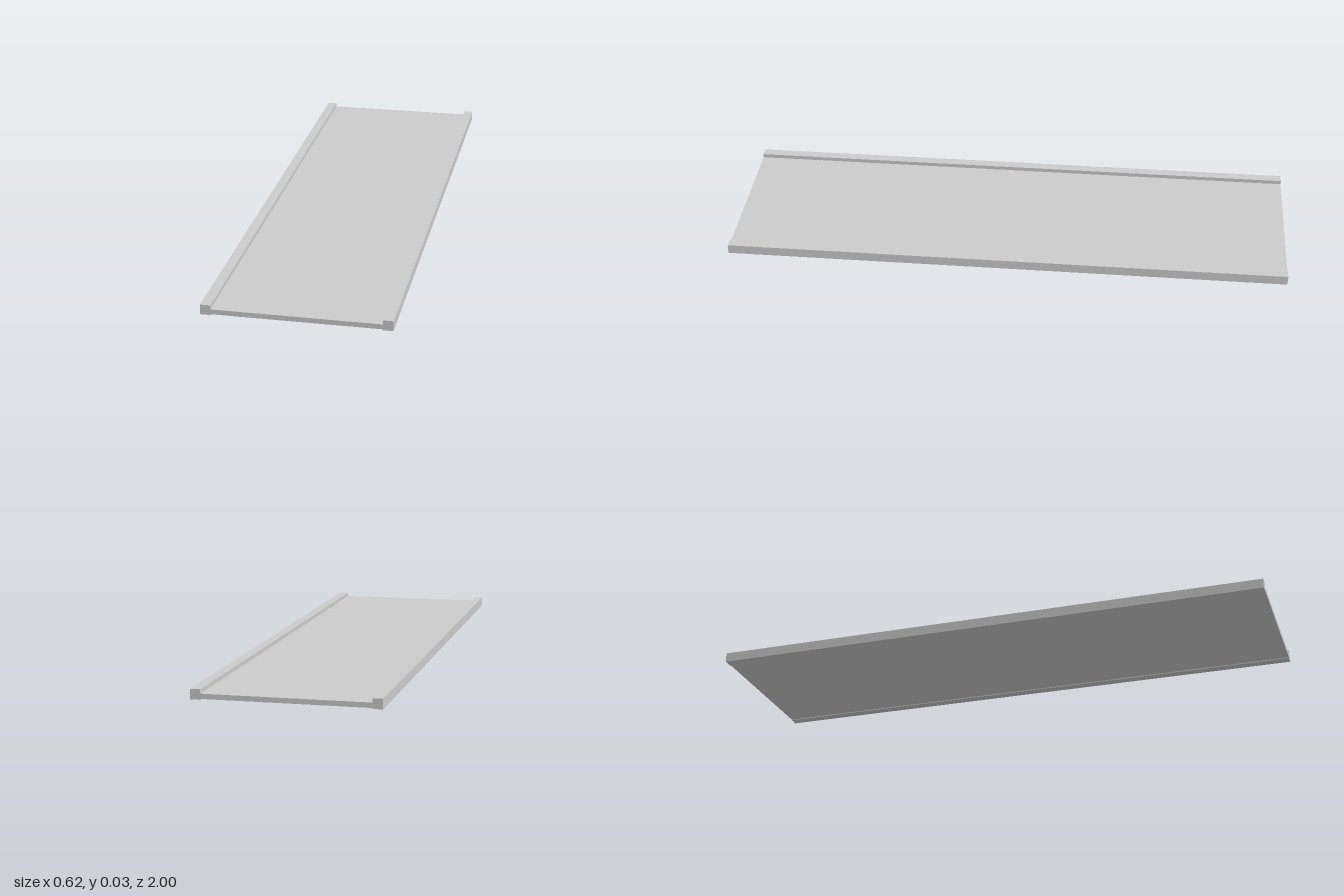
import * as THREE from 'three';

const LENGTH = 2;
const HALF_WIDTH = 0.3115;
const RAIL = 0.034; // square rail section
const DECK_BOTTOM = 0.003;
const DECK_TOP = 0.02;

export function createModel() {
  const model = new THREE.Group();
  model.name = 'railedPlatform';
  const material = new THREE.MeshStandardMaterial({ color: 0xcccccc });

  const addBox = (name, width, height, x, bottom) => {
    const mesh = new THREE.Mesh(new THREE.BoxGeometry(width, height, LENGTH), material);
    mesh.name = name;
    mesh.position.set(x, bottom + height / 2, 0);
    model.add(mesh);
  };

  // Flat deck spanning between the rails, raised slightly off the ground
  addBox('deck', 2 * (HALF_WIDTH - RAIL), DECK_TOP - DECK_BOTTOM, 0, DECK_BOTTOM);

  // Raised rails along both long edges
  for (const [name, side] of [['leftRail', 1], ['rightRail', -1]]) {
    addBox(name, RAIL, RAIL, side * (HALF_WIDTH - RAIL / 2), 0);
  }

  return model;
}
